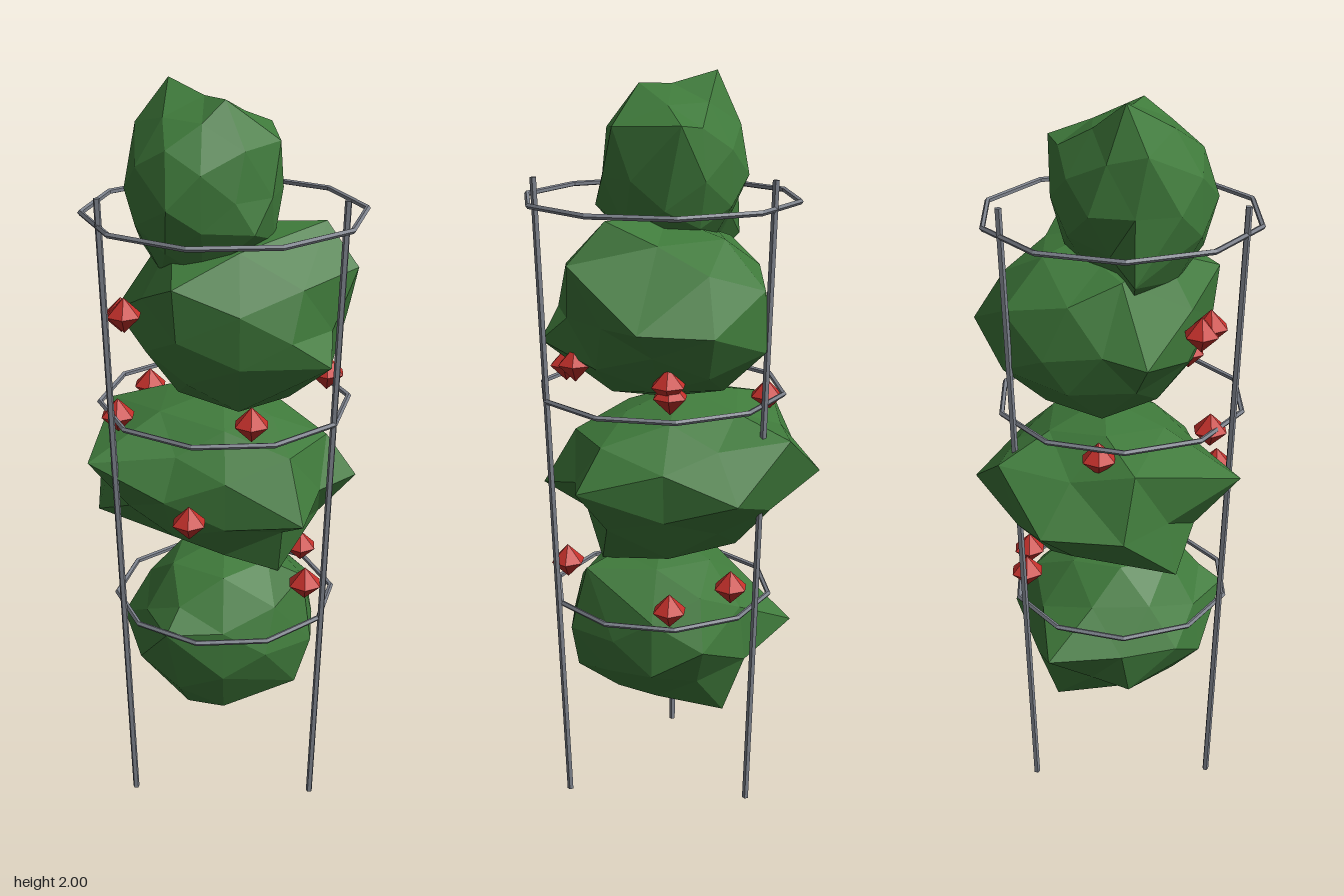
import * as THREE from 'three';
import { mergeVertices } from 'three/addons/utils/BufferGeometryUtils.js';

const leafGreen = new THREE.MeshStandardMaterial({ name: 'leafGreen', color: 0x3f7a3b });
const fruitRed = new THREE.MeshStandardMaterial({ name: 'fruitRed', color: 0xc5302b });
const wireGrey = new THREE.MeshStandardMaterial({ name: 'wireGrey', color: 0x7c818b });

const CX = 0.023, CZ = 0.024; // cage axis

function seeded(seed) {
  let s = seed;
  return () => (s = (s * 16807) % 2147483647) / 2147483647;
}

function faceted(geometry) {
  const g = geometry.index ? geometry.toNonIndexed() : geometry;
  g.computeVertexNormals();
  return g;
}

// Lumpy faceted clump: a jittered icosphere with its nearest corners pulled out to a few tips
function clumpGeometry(seed, centre, radii, tips) {
  const ico = new THREE.IcosahedronGeometry(1, 1);
  ico.deleteAttribute('normal');
  ico.deleteAttribute('uv');
  const g = mergeVertices(ico, 1e-4);
  const pos = g.attributes.position;
  const rand = seeded(seed);
  const c = new THREE.Vector3(...centre), r = new THREE.Vector3(...radii);
  const dirs = [];
  for (let i = 0; i < pos.count; i++) {
    const d = new THREE.Vector3().fromBufferAttribute(pos, i).normalize();
    dirs.push(d);
    const p = d.clone().multiply(r).multiplyScalar(0.9 + 0.15 * rand()).add(c);
    pos.setXYZ(i, p.x, p.y, p.z);
  }
  const used = new Set();
  for (const tip of tips) {
    const d = new THREE.Vector3(...tip).sub(c).divide(r).normalize();
    let best = -1, score = -2;
    dirs.forEach((v, i) => {
      if (!used.has(i) && v.dot(d) > score) { score = v.dot(d); best = i; }
    });
    used.add(best);
    pos.setXYZ(best, ...tip);
  }
  return faceted(g);
}

export function createModel() {
  const model = new THREE.Group();
  model.name = 'cagedPlant';
  const add = (geometry, material, name) => {
    const mesh = new THREE.Mesh(geometry, material);
    mesh.name = name;
    model.add(mesh);
    return mesh;
  };

  // Foliage clumps, from the ground up
  add(clumpGeometry(11, [0.02, 0.51, 0.02], [0.275, 0.25, 0.28],
    [[-0.28, 0.51, -0.18], [-0.08, 0.26, -0.16], [0.26, 0.69, 0], [0.02, 0.58, 0.315],
      [0.27, 0.38, 0.05], [0, 0.29, 0.18], [0.04, 0.51, -0.28], [-0.23, 0.38, 0.04]]),
  leafGreen, 'lowerFoliage');
  add(clumpGeometry(37, [-0.01, 0.95, -0.02], [0.32, 0.23, 0.3],
    [[-0.395, 0.95, 0.02], [-0.21, 1.04, 0.33], [0.34, 0.96, -0.14], [0.2, 0.7, 0.03],
      [-0.01, 0.95, -0.375], [-0.33, 1.11, 0.05], [-0.355, 0.945, -0.19], [-0.2, 1.08, -0.3],
      [-0.31, 0.81, 0.16], [0.33, 0.91, 0.13]]),
  leafGreen, 'middleFoliage');
  add(clumpGeometry(53, [0.03, 1.4, -0.03], [0.31, 0.25, 0.3],
    [[0.24, 1.655, -0.12], [0.34, 1.55, -0.11], [0.055, 1.39, -0.365], [-0.18, 1.57, 0.02],
      [-0.29, 1.38, 0.08], [0.355, 1.33, 0.05], [-0.2, 1.37, -0.18], [0.23, 1.4, -0.29],
      [0.03, 1.54, 0.28]]),
  leafGreen, 'upperFoliage');
  add(clumpGeometry(71, [-0.02, 1.74, 0.05], [0.195, 0.24, 0.21],
    [[-0.14, 2, 0.03], [0.06, 1.97, 0.08], [-0.1, 1.47, 0.05], [0.01, 1.73, 0.27],
      [-0.22, 1.57, 0.05], [0.17, 1.87, 0], [0.17, 1.66, 0.12], [0.05, 1.88, -0.16],
      [-0.21, 1.89, 0.08]]),
  leafGreen, 'topFoliage');

  // Fruit: six-sided double pyramids
  const fruitGeometry = faceted(new THREE.SphereGeometry(0.047, 6, 2));
  const fruit = (x, y, z) => add(fruitGeometry, fruitRed, 'fruit').position.set(x, y, z);
  fruit(-0.168, 1.427, 0.22);
  fruit(-0.14, 1.437, 0.245);
  fruit(0.295, 1.28, -0.04);
  fruit(0.12, 1.25, -0.235);
  fruit(0.115, 1.22, -0.235);
  fruit(0.225, 1.21, 0.22);
  fruit(-0.165, 1.16, 0.25);
  fruit(-0.265, 1.13, -0.04);
  fruit(0.085, 0.93, 0.295);
  fruit(0.295, 0.7, 0.05);
  fruit(-0.06, 0.67, -0.24);
  fruit(0.12, 0.635, -0.24);

  // Cage stakes, leaning outwards
  const up = new THREE.Vector3(0, 1, 0);
  for (let i = 0; i < 3; i++) {
    const a = (i * Math.PI * 2) / 3;
    const at = (r, y) => new THREE.Vector3(CX + r * Math.cos(a), y, CZ + r * Math.sin(a));
    const foot = at(0.291, 0.0015), tip = at(0.349, 1.753), axis = tip.clone().sub(foot);
    const stake = add(faceted(new THREE.CylinderGeometry(0.009, 0.009, axis.length(), 5)), wireGrey, 'cageStake');
    stake.position.copy(foot).lerp(tip, 0.5);
    stake.quaternion.setFromUnitVectors(up, axis.normalize());
  }

  // Cage rings, ten-sided
  for (const [r, y] of [[0.303, 0.588], [0.333, 1.17], [0.364, 1.682]]) {
    const ring = add(faceted(new THREE.TorusGeometry(r, 0.0075, 5, 10).rotateX(Math.PI / 2)), wireGrey, 'cageRing');
    ring.position.set(CX, y, CZ);
  }
  return model;
}
